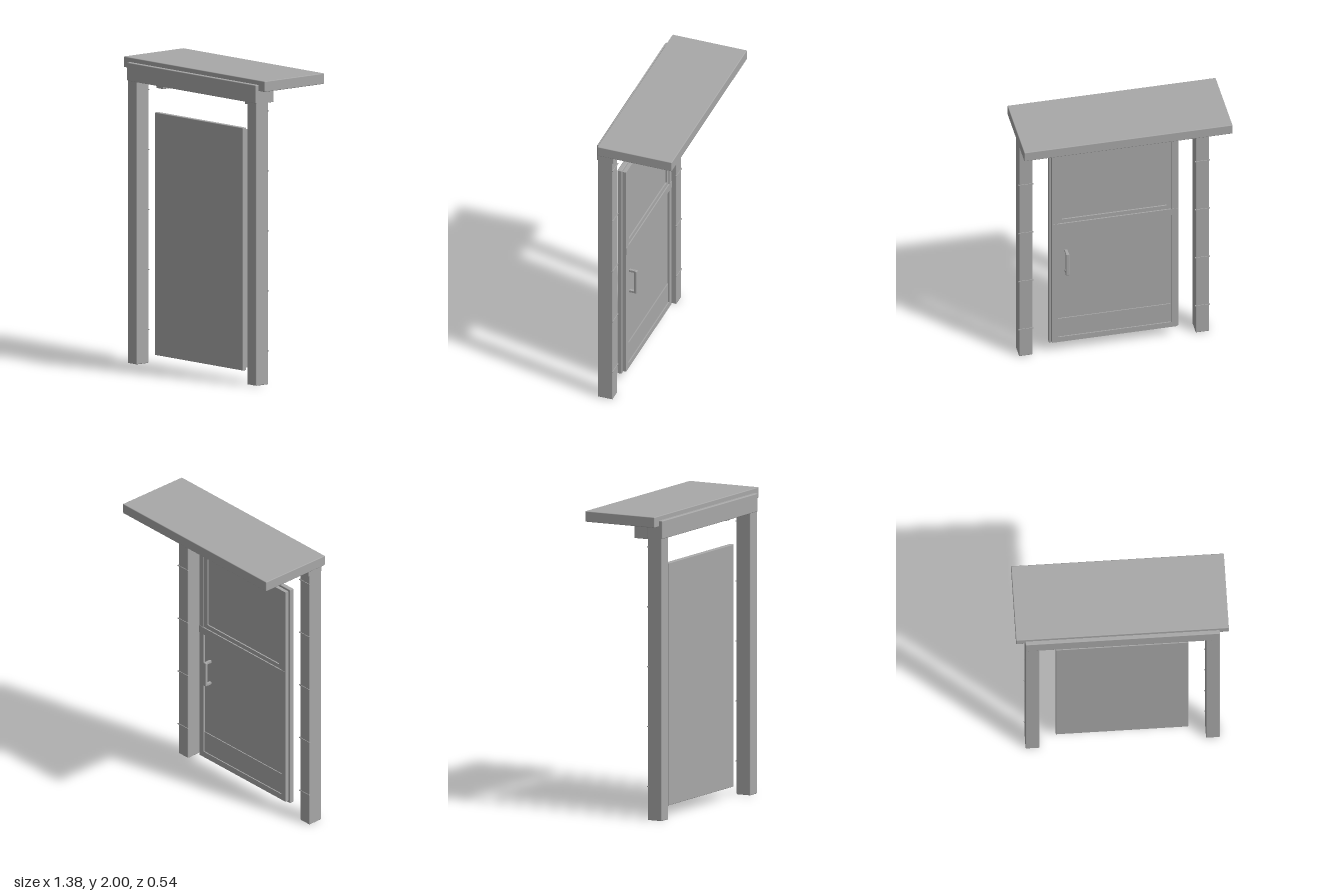
import * as THREE from 'three';
import { RoundedBoxGeometry } from 'three/addons/geometries/RoundedBoxGeometry.js';

export function createModel() {
  const model = new THREE.Group();
  model.name = 'coveredDoorway';
  const grey = new THREE.MeshStandardMaterial({ color: 0xa8a8a8 });
  grey.name = 'plain grey';

  // Box given by its limits, with an optional softened edge
  function box(parent, name, [x0, x1], [y0, y1], [z0, z1], bevel = 0) {
    const size = [x1 - x0, y1 - y0, z1 - z0];
    const geometry = bevel
      ? new RoundedBoxGeometry(...size, 2, bevel)
      : new THREE.BoxGeometry(...size);
    const mesh = new THREE.Mesh(geometry, grey);
    mesh.name = name;
    mesh.position.set((x0 + x1) / 2, (y0 + y1) / 2, (z0 + z1) / 2);
    parent.add(mesh);
    return mesh;
  }

  // Rectangular frame of constant border, extruded along z
  function frame(parent, name, [x0, x1], [y0, y1], [z0, z1], border) {
    const rect = (target, b) => target
      .moveTo(x0 + b, y0 + b).lineTo(x1 - b, y0 + b)
      .lineTo(x1 - b, y1 - b).lineTo(x0 + b, y1 - b).closePath();
    const shape = rect(new THREE.Shape(), 0);
    shape.holes.push(rect(new THREE.Path(), border));
    const geometry = new THREE.ExtrudeGeometry(shape, { depth: z1 - z0, bevelEnabled: false });
    const mesh = new THREE.Mesh(geometry, grey);
    mesh.name = name;
    mesh.position.z = z0;
    parent.add(mesh);
    return mesh;
  }

  // Canopy and the beam carrying it
  box(model, 'canopyRoof', [-0.69, 0.69], [1.93, 2], [-0.27, 0.245], 0.005);
  box(model, 'headerBeam', [-0.63, 0.63], [1.85, 1.97], [0.155, 0.27], 0.005);

  // Posts with thin joint strips, and canopy brackets
  for (const side of [-1, 1]) {
    const span = (a, b) => (side > 0 ? [a, b] : [-b, -a]);
    box(model, 'post', span(0.54, 0.63), [0, 1.96], [0.162, 0.265], 0.005);
    box(model, 'canopyBracket', span(0.4, 0.465), [1.81, 1.935], [-0.03, 0.16], 0.003);
    for (let i = 0; i < 5; i++) {
      const y = 0.22 + i * 0.393;
      box(model, 'postJointStrip', span(0.535, 0.635), [y - 0.003, y + 0.003], [0.158, 0.166]);
    }
  }

  // Door: smooth outer sheet with a framed back
  const door = new THREE.Group();
  door.name = 'door';
  model.add(door);
  box(door, 'doorSheet', [-0.43, 0.43], [0.07, 1.66], [0.174, 0.205], 0.004);
  frame(door, 'doorFrame', [-0.415, 0.415], [0.085, 1.645], [0.149, 0.175], 0.04);
  box(door, 'middleRail', [-0.415, 0.415], [1.0, 1.05], [0.147, 0.175]);
  box(door, 'lowerPanel', [-0.376, 0.376], [0.124, 1.001], [0.162, 0.175]);
  frame(door, 'upperPanelMoulding', [-0.376, 0.376], [1.049, 1.606], [0.155, 0.175], 0.03);
  box(door, 'upperPanel', [-0.347, 0.347], [1.078, 1.577], [0.164, 0.175]);
  box(door, 'kickPlate', [-0.374, 0.374], [0.12, 0.27], [0.156, 0.163]);

  // Pull handle
  const handle = new THREE.Group();
  handle.name = 'handle';
  door.add(handle);
  box(handle, 'handleGrip', [0.308, 0.332], [0.65, 0.825], [0.107, 0.127], 0.006);
  for (const y of [0.658, 0.817]) {
    box(handle, 'handleStandoff', [0.311, 0.329], [y - 0.007, y + 0.007], [0.12, 0.164]);
  }
  return model;
}
